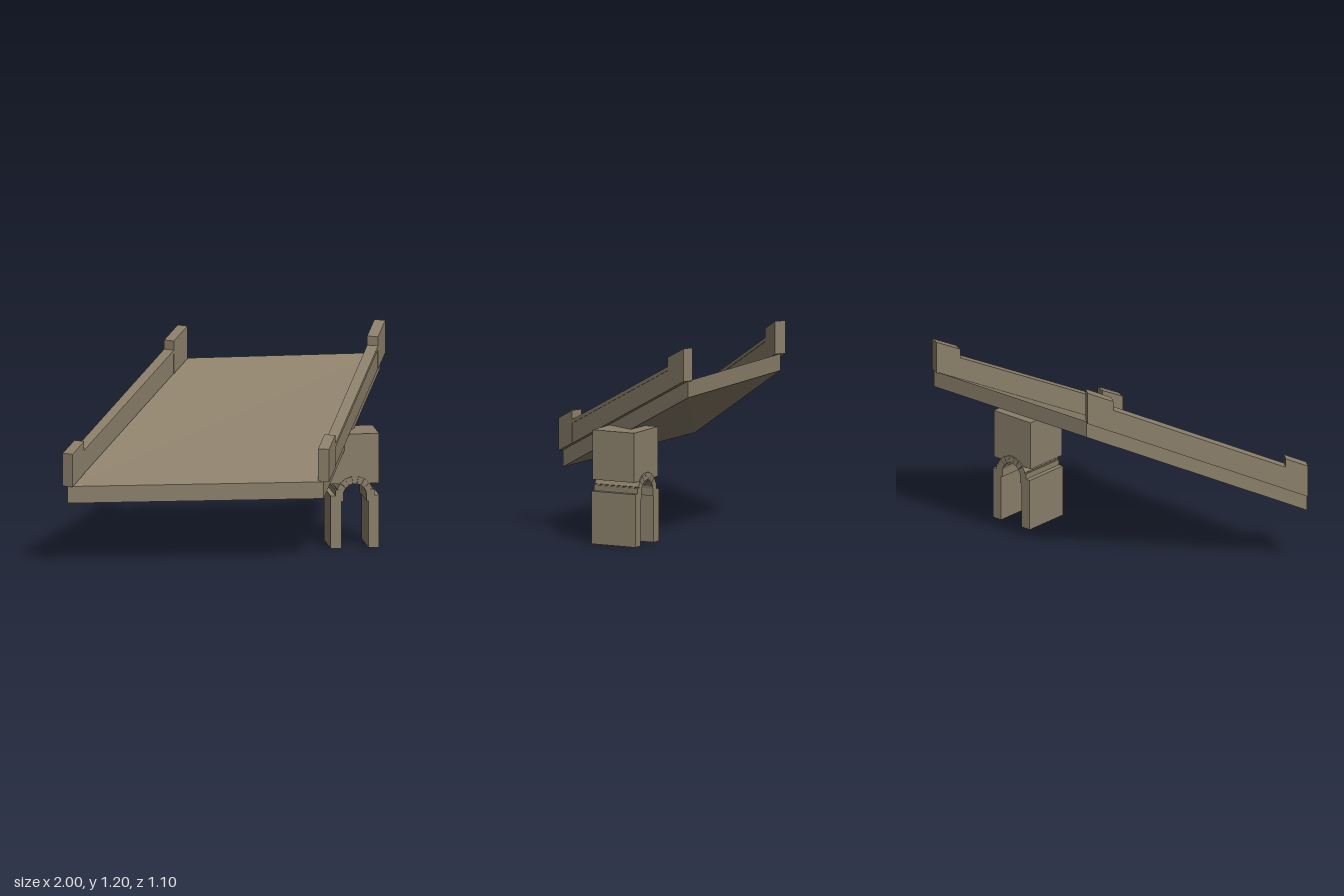
import * as THREE from 'three';

const stone = new THREE.MeshStandardMaterial({ color: 0x8b7f6a });
stone.name = 'stone';
stone.flatShading = true;

// Deck corners seen from above: [x, z]
const FL = [-0.973, 0.481], FR = [0.495, 0.535], BR = [0.968, -0.538], BL = [-0.172, -0.515];
const LOW = 0.46, RISE = 0.545, THICK = 0.097, WALL = 0.065;

function add(parent, geometry, name) {
  const mesh = new THREE.Mesh(geometry, stone);
  mesh.name = name;
  parent.add(mesh);
  return mesh;
}

// Extrude a closed outline, centred on its depth
function slab(points, depth) {
  const shape = new THREE.Shape(points.map(([x, y]) => new THREE.Vector2(x, y)));
  const g = new THREE.ExtrudeGeometry(shape, { depth, bevelEnabled: false });
  return g.translate(0, 0, -depth / 2);
}

function box(parent, x0, x1, y0, y1, depth, name) {
  const mesh = add(parent, new THREE.BoxGeometry(x1 - x0, y1 - y0, depth), name);
  mesh.position.set((x0 + x1) / 2, (y0 + y1) / 2, 0);
}

// Sloping roadway: a four-cornered slab with vertical sides
function deckGeometry() {
  const corners = [FL, FR, BR, BL];
  const heights = [LOW, LOW, LOW + RISE, LOW + RISE];
  const pos = [];
  for (const drop of [0, THICK]) {
    corners.forEach(([x, z], i) => pos.push(x, heights[i] - drop, z));
  }
  const index = [0, 1, 2, 0, 2, 3, 4, 6, 5, 4, 7, 6];
  for (let i = 0; i < 4; i++) {
    const j = (i + 1) % 4;
    index.push(i, i + 4, j + 4, i, j + 4, j);
  }
  const g = new THREE.BufferGeometry();
  g.setAttribute('position', new THREE.Float32BufferAttribute(pos, 3));
  g.setIndex(index);
  const flat = g.toNonIndexed();
  flat.computeVertexNormals();
  return flat;
}

// Parapet following the slope, with a raised post at each end
function parapet(start, end, name) {
  const group = new THREE.Group();
  group.name = name;
  const dx = end[0] - start[0], dz = end[1] - start[1];
  const length = Math.hypot(dx, dz);
  const piece = (s0, s1, h0, h1, width, label) => {
    const at = (s, h) => [s, LOW + RISE * s / length + h];
    add(group, slab([at(s0, h0), at(s1, h0), at(s1, h1), at(s0, h1)], width), label);
  };
  const a = 0.13, b = length - 0.15;
  piece(0, a, 0, 0.19, WALL, 'frontPost');
  piece(b, length, 0, 0.19, WALL, 'rearPost');
  piece(a, b, 0, 0.115, WALL - 0.006, 'parapetPanel');
  piece(a, b, 0.115, 0.137, WALL, 'parapetCoping');
  group.position.set(start[0], 0, start[1]);
  group.rotation.y = Math.atan2(-dz, dx);
  return group;
}

// Pier: two legs, a ring of arch stones and a block above
function pier() {
  const group = new THREE.Group();
  group.name = 'archPier';
  const depth = 0.285, spring = 0.305, inner = 0.068, outer = 0.11, stones = 9;
  box(group, -0.14, 0.14, 0.373, 0.66, 0.27, 'pierBlock');
  for (const side of [-1, 1]) {
    const span = (a, b) => [side * a, side * b].sort((p, q) => p - q);
    box(group, ...span(0.078, 0.14), 0, spring, depth, 'pierLeg');
    box(group, ...span(0.067, 0.078), 0.27, spring, depth, 'legCorbel');
    box(group, ...span(0.067, 0.112), spring, 0.337, depth, 'archSpringer');
  }
  for (let i = 0; i < stones; i++) {
    const a0 = Math.PI * i / stones + 0.008, a1 = Math.PI * (i + 1) / stones - 0.008;
    const at = (r, a) => [r * Math.cos(a), spring + r * Math.sin(a)];
    add(group, slab([at(inner, a0), at(outer, a0), at(outer, a1), at(inner, a1)], depth), 'archStone');
  }
  group.position.x = 0.73;
  return group;
}

export function createModel() {
  const model = new THREE.Group();
  model.name = 'slopedBridge';
  add(model, deckGeometry(), 'deck');
  model.add(parapet(FL, BL, 'leftEdgeParapet'));
  model.add(parapet(FR, BR, 'rightEdgeParapet'));
  model.add(pier());
  return model;
}
